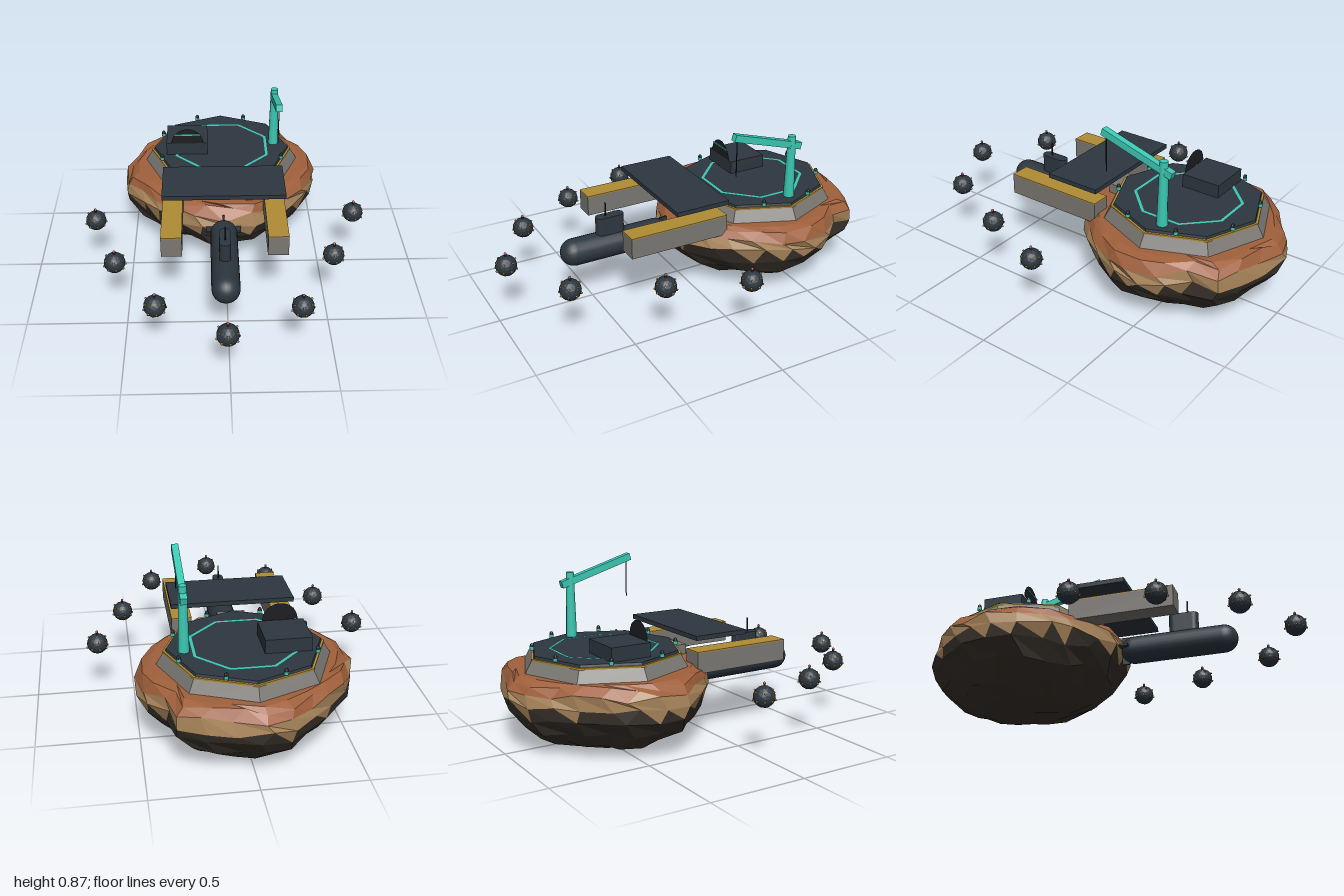
import * as THREE from 'three';

const mat = (name, color, extra = {}) => {
  const m = new THREE.MeshStandardMaterial({ color, ...extra });
  m.name = name;
  return m;
};

export function createModel() {
  const flat = { flatShading: true };
  const slate = mat('slate', 0x2d3740, flat);
  const hullPaint = mat('hull slate', 0x2d3740);
  const black = mat('black', 0x1b1e21, { side: THREE.DoubleSide });
  const teal = mat('teal', 0x3cc9b4, { side: THREE.DoubleSide });
  const gold = mat('gold', 0xb08c34);
  const concrete = mat('concrete', 0x7b7873, flat);
  const rust = mat('rust rock', 0xa0603c, flat);
  const tan = mat('tan rock', 0xa8845a, flat);
  const darkRock = mat('dark rock', 0x3a332c, flat);
  const red = mat('red', 0xc0504c);

  const model = new THREE.Group();
  model.name = 'islandBase';
  const CX = -0.012, CZ = -0.465;

  const add = (name, geo, material, x = 0, y = 0, z = 0, parent = model) => {
    const m = new THREE.Mesh(geo, material);
    m.name = name;
    m.position.set(x, y, z);
    parent.add(m);
    return m;
  };
  // box given by its min and max on each axis
  const block = (name, material, x0, x1, y0, y1, z0, z1) =>
    add(name, new THREE.BoxGeometry(x1 - x0, y1 - y0, z1 - z0), material,
      (x0 + x1) / 2, (y0 + y1) / 2, (z0 + z1) / 2);

  // Rock: jittered rings around an irregular outline, coloured in height bands
  let seed = 7;
  const rand = () => ((seed = (seed * 16807) % 2147483647) / 2147483647) - 0.5;
  const outline = [0.54, 0.54, 0.52, 0.51, 0.51, 0.52, 0.525, 0.51, 0.475, 0.54, 0.515, 0.505,
    0.53, 0.505, 0.48, 0.47, 0.49, 0.51, 0.54, 0.55, 0.52, 0.51, 0.52, 0.54];
  const rows = [[0.38, 0.86], [0.365, 0.93], [0.325, 0.98], [0.27, 1], [0.2, 0.96],
    [0.125, 0.85], [0.055, 0.67], [0.012, 0.44]];
  const N = outline.length;
  const rings = rows.map(([y, s], i) => outline.map((r, j) => {
    const a = (j + (i % 2) * 0.3 + rand() * 0.3) / N * Math.PI * 2;
    const k = r * s * (i === 3 ? 1 : 1 + rand() * 0.05);
    const dy = i === 0 ? 0 : i === 7 ? rand() * 0.02 : rand() * 0.035;
    return new THREE.Vector3(CX + Math.sin(a) * k, y + dy, CZ + Math.cos(a) * k);
  }));
  const bands = [[], [], []];
  const face = (a, b, c) => {
    const h = (a.y + b.y + c.y) / 3 + rand() * 0.025;
    const band = h > 0.325 ? 0 : h > 0.25 ? 1 : 2;
    for (const p of [a, b, c]) bands[band].push(p.x, p.y, p.z);
  };
  const top = new THREE.Vector3(CX, 0.38, CZ), bottom = new THREE.Vector3(CX, 0, CZ);
  for (let j = 0; j < N; j++) {
    const n = (j + 1) % N;
    face(top, rings[0][j], rings[0][n]);
    face(bottom, rings[7][n], rings[7][j]);
    for (let i = 0; i < 7; i++) {
      face(rings[i][j], rings[i + 1][j], rings[i + 1][n]);
      face(rings[i][j], rings[i + 1][n], rings[i][n]);
    }
  }
  const rockGeo = new THREE.BufferGeometry();
  rockGeo.setAttribute('position', new THREE.Float32BufferAttribute(bands.flat(), 3));
  let start = 0;
  bands.forEach((b, i) => {
    rockGeo.addGroup(start, b.length / 3, i);
    start += b.length / 3;
  });
  rockGeo.computeVertexNormals();
  add('rock', rockGeo, [rust, tan, darkRock]);

  // Octagonal platform: sloped plinth, trim, deck and painted ring
  const octagon = (name, material, r1, r0, y0, y1) =>
    add(name, new THREE.CylinderGeometry(r1, r0, y1 - y0, 8), material, CX, (y0 + y1) / 2, CZ);
  octagon('plinth', concrete, 0.388, 0.43, 0.365, 0.438);
  octagon('plinthTrim', gold, 0.388, 0.388, 0.438, 0.447);
  octagon('deck', slate, 0.372, 0.376, 0.447, 0.459);
  const ring = new THREE.RingGeometry(0.26, 0.275, 8, 1, Math.PI / 8).rotateX(-Math.PI / 2);
  add('deckRing', ring, teal, CX, 0.461, CZ);
  block('dockStep', concrete, -0.085, 0.06, 0.38, 0.43, -0.12, -0.035);

  // Deck lamps at the middle of each edge
  for (let i = 0; i < 8; i++) {
    const a = (i + 0.5) * Math.PI / 4, x = CX + Math.sin(a) * 0.353, z = CZ + Math.cos(a) * 0.353;
    add('lampBase', new THREE.CylinderGeometry(0.011, 0.011, 0.016, 8), teal, x, 0.464, z);
    add('lampCap', new THREE.SphereGeometry(0.011, 8, 6).scale(1, 1.4, 1), slate, x, 0.474, z);
  }

  // Two piers and the floating roof over them
  for (const [x0, x1] of [[-0.325, -0.222], [0.198, 0.3]]) {
    block('pier', concrete, x0, x1, 0.338, 0.441, -0.12, 0.41);
    block('pierTop', gold, x0, x1, 0.441, 0.447, -0.12, 0.41);
  }
  block('dockRoof', slate, -0.325, 0.302, 0.505, 0.528, -0.128, 0.164);

  // Bunker with a flat half-round window
  block('bunker', slate, -0.315, -0.09, 0.458, 0.528, -0.587, -0.38);
  add('bunkerWindow', new THREE.CircleGeometry(0.087, 24, 0, Math.PI), black, -0.2, 0.528, -0.379);
  block('windowStripe', teal, -0.27, -0.128, 0.578, 0.585, -0.378, -0.374);

  // Crane
  add('craneMast', new THREE.CylinderGeometry(0.02, 0.028, 0.335, 10), teal, 0.28, 0.625, -0.503);
  const arm = add('craneArm', new THREE.BoxGeometry(0.034, 0.036, 0.41), teal, 0.279, 0.79, -0.357);
  arm.rotation.x = -0.29;
  add('craneCable', new THREE.CylinderGeometry(0.003, 0.003, 0.2, 6), black, 0.28, 0.738, -0.178);

  // Submarine
  const hull = new THREE.CapsuleGeometry(0.07, 0.46, 8, 20).rotateX(Math.PI / 2);
  add('submarineHull', hull, hullPaint, CX, 0.272, 0.355);
  const plan = new THREE.Shape();
  plan.absarc(0, 0.048, 0.028, 0, Math.PI);
  plan.absarc(0, -0.048, 0.028, Math.PI, Math.PI * 2);
  const tower = new THREE.ExtrudeGeometry(plan, { depth: 0.12, bevelEnabled: false, curveSegments: 8 });
  add('submarineTower', tower.rotateX(-Math.PI / 2), slate, CX, 0.312, 0.384);
  add('periscope', new THREE.CylinderGeometry(0.004, 0.004, 0.08, 8), black, CX, 0.465, 0.405);
  block('sternPlane', slate, CX - 0.09, CX + 0.09, 0.267, 0.277, 0.06, 0.11);
  block('rudder', slate, CX - 0.005, CX + 0.005, 0.198, 0.345, 0.06, 0.1);

  // Floating mines with gold horns and a red-tipped fuse
  const mines = [[-0.68, 0.015], [0.677, -0.03], [-0.555, 0.39], [0.53, 0.35],
    [-0.345, 0.73], [0.34, 0.75], [CX, 0.938]];
  const up = new THREE.Vector3(0, 1, 0);
  for (const [x, z] of mines) {
    const mine = new THREE.Group();
    mine.name = 'mine';
    mine.position.set(x, 0.293, z);
    model.add(mine);
    add('mineBody', new THREE.IcosahedronGeometry(0.053, 2), slate, 0, 0, 0, mine);
    for (const [count, lat, turn] of [[8, -0.28, 0.2], [6, 0.5, 0]]) {
      for (let i = 0; i < count; i++) {
        const a = turn + i / count * Math.PI * 2;
        const dir = new THREE.Vector3(Math.sin(a) * Math.cos(lat), Math.sin(lat), Math.cos(a) * Math.cos(lat));
        const p = dir.clone().multiplyScalar(0.053);
        const horn = add('mineHorn', new THREE.CylinderGeometry(0.005, 0.006, 0.012, 6), gold, p.x, p.y, p.z, mine);
        horn.quaternion.setFromUnitVectors(up, dir);
      }
    }
    add('fuse', new THREE.CylinderGeometry(0.006, 0.006, 0.014, 6), slate, 0, 0.056, 0, mine);
    add('fuseTip', new THREE.SphereGeometry(0.007, 8, 6), red, 0, 0.065, 0, mine);
  }
  return model;
}
